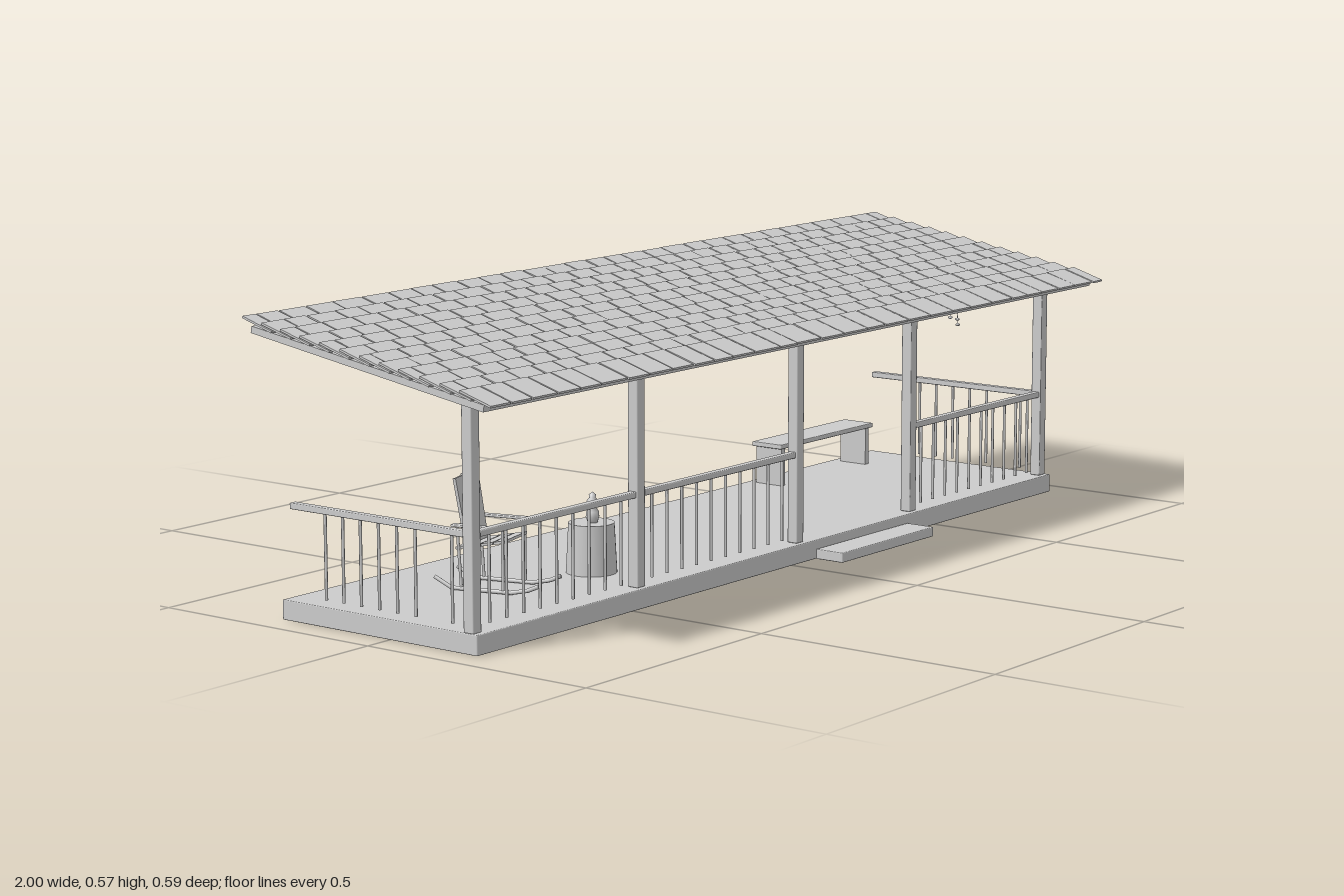
import * as THREE from 'three';
import { RoundedBoxGeometry } from 'three/addons/geometries/RoundedBoxGeometry.js';
import { mergeGeometries } from 'three/addons/utils/BufferGeometryUtils.js';

export function createModel() {
  const paint = new THREE.MeshStandardMaterial({ color: 0xcccccc });
  paint.name = 'paleGrey';
  const model = new THREE.Group();
  model.name = 'porch';

  const add = (parent, name, geo, x = 0, y = 0, z = 0) => {
    const mesh = new THREE.Mesh(geo, paint);
    mesh.name = name;
    mesh.position.set(x, y, z);
    parent.add(mesh);
    return mesh;
  };
  const group = (name, parent = model) => {
    const g = new THREE.Group();
    g.name = name;
    parent.add(g);
    return g;
  };
  const box = (w, h, d) => new THREE.BoxGeometry(w, h, d);
  const soft = (w, h, d, r = 0.002) => new RoundedBoxGeometry(w, h, d, 1, r);
  // round bar between two points
  const bar = (parent, name, a, b, r, sides = 8) => {
    const p = new THREE.Vector3(...a), q = new THREE.Vector3(...b);
    const mesh = add(parent, name, new THREE.CylinderGeometry(r, r, p.distanceTo(q), sides));
    mesh.position.copy(p).add(q).multiplyScalar(0.5);
    mesh.quaternion.setFromUnitVectors(new THREE.Vector3(0, 1, 0), q.sub(p).normalize());
    return mesh;
  };

  // deck and step
  add(model, 'deck', soft(1.885, 0.038, 0.47), 0, 0.019, -0.028);
  add(model, 'step', soft(0.32, 0.02, 0.064), 0.237, 0.01, 0.239);

  // posts
  const postX = [-0.93, -0.465, 0.037, 0.43, 0.925];
  for (const x of postX) add(model, 'post', soft(0.023, 0.422, 0.023), x, 0.249, 0.186);

  // railings
  const railings = group('railings');
  const baluster = (x, z) => add(railings, 'baluster', new THREE.CylinderGeometry(0.003, 0.003, 0.16, 8), x, 0.128, z);
  for (const i of [0, 1, 3]) {
    const a = postX[i], b = postX[i + 1], n = Math.round((b - a) / 0.045) - 1;
    add(railings, 'frontRail', soft(b - a, 0.012, 0.016), (a + b) / 2, 0.214, 0.186);
    for (let k = 1; k <= n; k++) baluster(a + (b - a) * k / (n + 1), 0.186);
  }
  for (const x of [postX[0], postX[4]]) {
    add(railings, 'sideRail', soft(0.016, 0.012, 0.42), x, 0.214, -0.035);
    for (const z of [0.14, 0.0535, 0.0095, -0.034, -0.078, -0.121, -0.164]) baluster(x, z);
  }

  // roof slab
  const roof = group('roof');
  const slab = add(roof, 'roofSlab', box(1.98, 0.013, 0.557), 0, 0.498, -0.006);
  slab.rotation.x = Math.atan(0.158);

  // overlapping shingle rows with uneven widths
  let seed = 11;
  const rand = () => (seed = (seed * 16807) % 2147483647) / 2147483647;
  const shingles = [];
  for (let row = 0; row < 12; row++) {
    let x = -1;
    let first = true;
    while (x < 0.999) {
      let w = (first && row % 2 ? 0.035 : 0.068) * (0.82 + rand() * 0.36);
      if (x + w > 0.975) w = 1 - x;
      const tile = box(w - 0.003, 0.004, 0.074);
      tile.rotateX(0.285 + (rand() - 0.5) * 0.02);
      tile.translate(x + w / 2, 0.471 + row * 0.0075, 0.2575 - row * 0.0468 + (rand() - 0.5) * 0.004);
      shingles.push(tile);
      x += w;
      first = false;
    }
  }
  add(roof, 'shingles', mergeGeometries(shingles));

  // bench
  const bench = group('bench');
  bench.position.set(0.645, 0, -0.208);
  add(bench, 'benchSeat', soft(0.34, 0.01, 0.076), 0, 0.123, 0);
  for (const s of [-1, 1]) add(bench, 'benchLeg', box(0.012, 0.082, 0.066), s * 0.155, 0.079, 0);

  // tub table with a small lamp on it
  const table = group('tubTable');
  table.position.set(-0.416, 0, 0.038);
  add(table, 'tub', new THREE.CylinderGeometry(0.044, 0.049, 0.096, 24), 0, 0.086, 0);
  const lampProfile = [[0, 0.133], [0.009, 0.133], [0.013, 0.145], [0.012, 0.155], [0.007, 0.163],
    [0.011, 0.17], [0.011, 0.176], [0.006, 0.182], [0.007, 0.187], [0, 0.193]];
  add(table, 'lamp', new THREE.LatheGeometry(lampProfile.map(p => new THREE.Vector2(...p)), 16), 0, 0, 0.003);

  // rocking chair, turned slightly toward its left
  const chair = group('rockingChair');
  chair.position.set(-0.632, 0, -0.012);
  chair.rotation.y = 0.26;
  const rocker = [[0.108, 0.06], [0.085, 0.05], [0.05, 0.043], [-0.07, 0.043], [-0.105, 0.061]];
  for (const s of [-1, 1]) {
    const x = s * 0.048;
    for (let i = 0; i < rocker.length - 1; i++) {
      const [z0, y0] = rocker[i], [z1, y1] = rocker[i + 1];
      bar(chair, 'rocker', [x, y0, z0], [x, y1, z1], 0.004);
    }
    bar(chair, 'frontLeg', [x, 0.043, 0.035], [x, 0.162, 0.035], 0.003);
    bar(chair, 'rearLeg', [x, 0.043, -0.05], [x, 0.162, -0.058], 0.003);
    add(chair, 'armrest', soft(0.016, 0.005, 0.11), s * 0.055, 0.163, -0.01);
  }
  for (let i = 0; i < 4; i++) {
    const slat = add(chair, 'seatSlat', box(0.094, 0.005, 0.024), 0, 0.135 - i * 0.005, 0.028 - i * 0.026);
    slat.rotation.x = -0.19;
  }
  for (const i of [-1, 0, 1]) {
    const slat = add(chair, 'backSlat', box(0.029, i ? 0.13 : 0.136, 0.006), i * 0.031, 0.185, -0.052);
    slat.rotation.set(-0.17, 0, i * -0.03);
  }
  bar(chair, 'backBrace', [-0.048, 0.16, -0.058], [0.048, 0.16, -0.058], 0.003);
  bar(chair, 'legBrace', [-0.048, 0.118, -0.054], [0.048, 0.118, -0.054], 0.003);

  // wind chime
  const chime = group('windChime');
  chime.position.set(0.68, 0, 0.133);
  add(chime, 'chimeDisc', new THREE.CylinderGeometry(0.016, 0.016, 0.002, 16), 0, 0.46, 0);
  const bells = [[-0.014, 0.403, 0.013], [-0.005, 0.39, 0.008], [0.012, 0.416, 0], [0.008, 0.416, -0.006], [-0.002, 0.403, -0.013]];
  for (const [x, y, z] of bells) {
    bar(chime, 'chimeString', [x, y, z], [x, 0.46, z], 0.0006, 4);
    const bowl = add(chime, 'chimeBell', new THREE.SphereGeometry(0.005, 10, 8), x, y, z);
    bowl.scale.y = 0.6;
  }
  return model;
}
